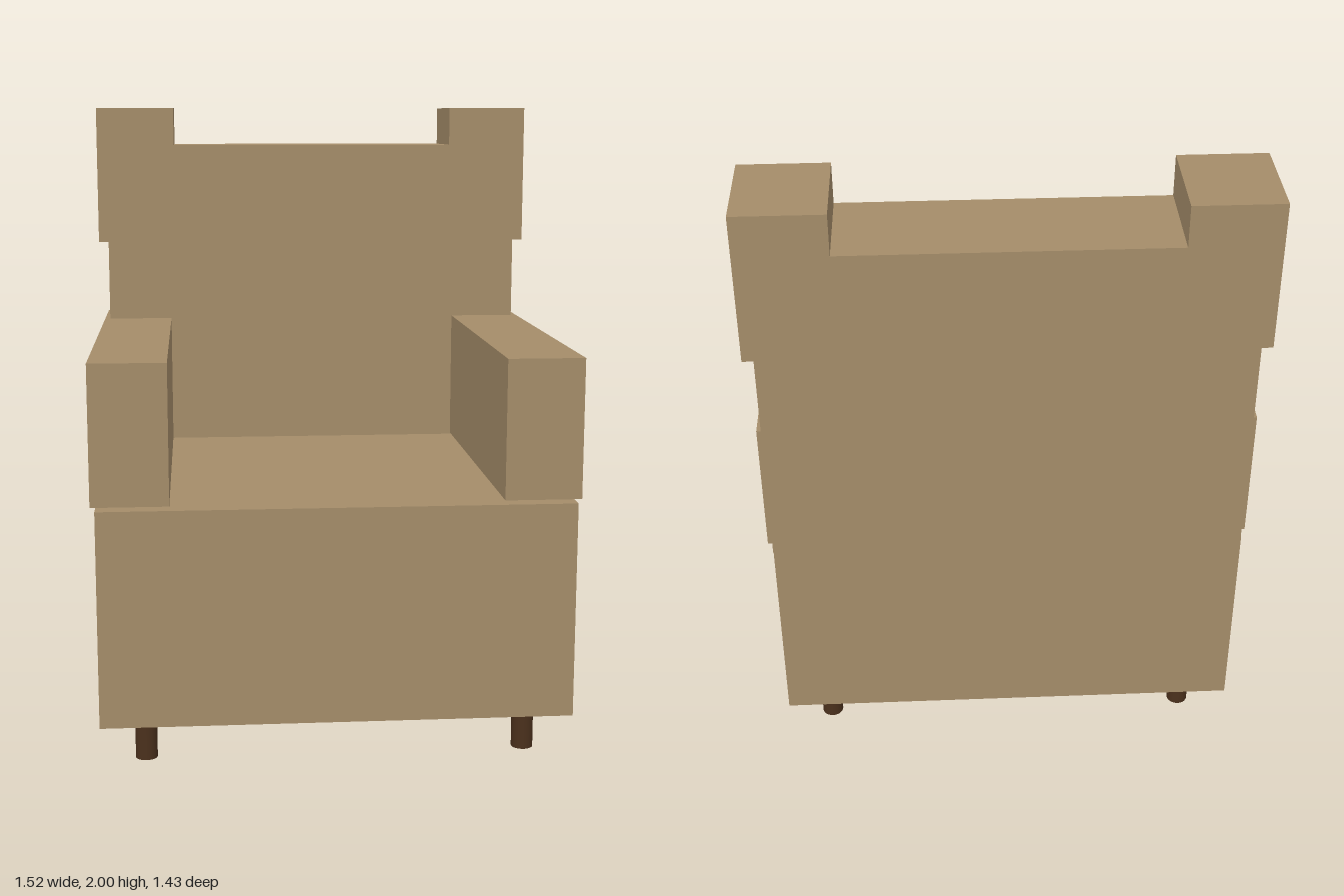
import * as THREE from 'three';

export function createModel() {
  const model = new THREE.Group();
  model.name = 'armchair';

  const fabric = new THREE.MeshStandardMaterial({ color: 0xa48c69 });
  fabric.name = 'tan fabric';
  const wood = new THREE.MeshStandardMaterial({ color: 0x4a301c });
  wood.name = 'dark wood';

  const add = (name, geometry, material) => {
    const mesh = new THREE.Mesh(geometry, material);
    mesh.name = name;
    model.add(mesh);
    return mesh;
  };

  // Box given by its minimum and maximum corners
  const block = (name, x0, x1, y0, y1, z0, z1) =>
    add(name, new THREE.BoxGeometry(x1 - x0, y1 - y0, z1 - z0), fabric)
      .position.set((x0 + x1) / 2, (y0 + y1) / 2, (z0 + z1) / 2);

  // Seat base
  block('seatBase', -0.73, 0.727, 0.14, 0.815, -0.71, 0.713);

  // Backrest with raised, overhanging head wings in one silhouette
  const half = [[0.728, 0.815], [0.728, 1.53], [0.762, 1.53], [0.762, 2], [0.492, 2], [0.492, 1.87]];
  const outline = [...half, ...half.map(([x, y]) => [-x, y]).reverse()];
  const shape = new THREE.Shape(outline.map(([x, y]) => new THREE.Vector2(x, y)));
  add('backrest', new THREE.ExtrudeGeometry(shape, { depth: 0.302, bevelEnabled: false }), fabric)
    .position.z = -0.713;

  for (const side of [1, -1]) {
    const label = side > 0 ? 'left' : 'right';

    // Armrests overhang the base and run back along the backrest
    const inner = side * 0.509, outer = side * 0.746;
    block(label + 'Armrest', Math.min(inner, outer), Math.max(inner, outer), 0.82, 1.255, -0.677, 0.678);

    // Round legs
    for (const end of [1, -1]) {
      add(label + (end > 0 ? 'FrontLeg' : 'BackLeg'), new THREE.CylinderGeometry(0.034, 0.034, 0.14, 24), wood)
        .position.set(side * 0.593, 0.07, end * 0.593);
    }
  }

  return model;
}
